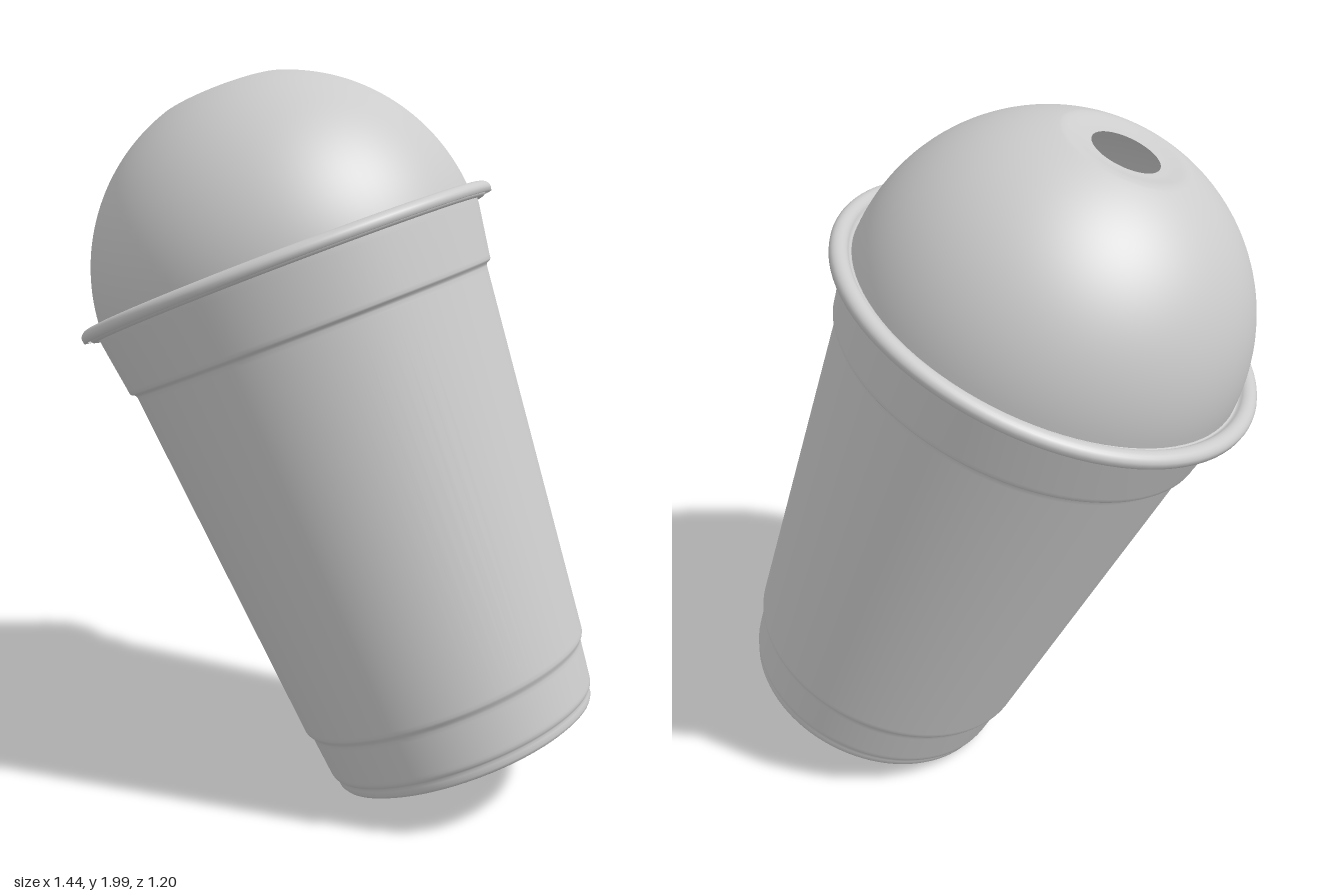
import * as THREE from 'three';

const material = new THREE.MeshStandardMaterial({ color: 0xcccccc, side: THREE.DoubleSide });

// Turned part from [radius, height] pairs, listed from bottom to top
function turned(name, profile) {
  const points = profile.map(([r, y]) => new THREE.Vector2(r, y));
  const mesh = new THREE.Mesh(new THREE.LatheGeometry(points, 96), material);
  mesh.name = name;
  return mesh;
}

export function createModel() {
  const cup = new THREE.Group();
  cup.name = 'lidded cup';

  // Cup: flat base, foot groove, tapered wall and wider band under the lip
  cup.add(turned('cupBody', [
    [0, 0], [0.355, 0], [0.367, 0.001], [0.375, 0.005], [0.38, 0.013],
    [0.381, 0.026], [0.381, 0.034], [0.385, 0.039], [0.39, 0.044], [0.392, 0.052],
    [0.393, 0.06], [0.404, 0.16], [0.405, 0.17], [0.408, 0.178], [0.415, 0.185],
    [0.418, 0.192], [0.419, 0.202], [0.515, 1.225], [0.516, 1.237], [0.519, 1.243],
    [0.528, 1.247], [0.532, 1.252], [0.533, 1.262], [0.553, 1.4], [0.555, 1.425],
  ]));

  // Rolled lip of the cup, tucked under the lid rim
  const lip = new THREE.Mesh(new THREE.TorusGeometry(0.566, 0.014, 12, 96), material);
  lip.name = 'cupLip';
  lip.rotation.x = Math.PI / 2;
  lip.position.y = 1.429;
  cup.add(lip);

  // Lid rim: short skirt rolled over into a rounded bead
  const rim = [[0.588, 1.422], [0.597, 1.423]];
  for (let i = 0; i <= 10; i++) {
    const a = (i / 10) * Math.PI * 0.9;
    rim.push([0.574 + 0.025 * Math.cos(a), 1.434 + 0.022 * Math.sin(a)]);
  }
  rim.push([0.545, 1.438], [0.541, 1.442]);
  cup.add(turned('lidRim', rim));

  // Domed lid, flattened at the top around the straw hole
  const radius = 0.543, centre = 1.413;
  const dome = [];
  const start = 0.05, end = Math.acos(0.18 / radius);
  for (let i = 0; i <= 32; i++) {
    const a = start + (end - start) * (i / 32);
    dome.push([radius * Math.cos(a), centre + radius * Math.sin(a)]);
  }
  dome.push([0.172, 1.927], [0.16, 1.928], [0.145, 1.926], [0.125, 1.921],
    [0.11, 1.919], [0.092, 1.918]);
  cup.add(turned('domeLid', dome));

  // Lean the whole cup to its right
  cup.rotation.z = THREE.MathUtils.degToRad(21.8);
  cup.position.set(0.368, 0.14, 0);

  const model = new THREE.Group();
  model.add(cup);
  return model;
}
